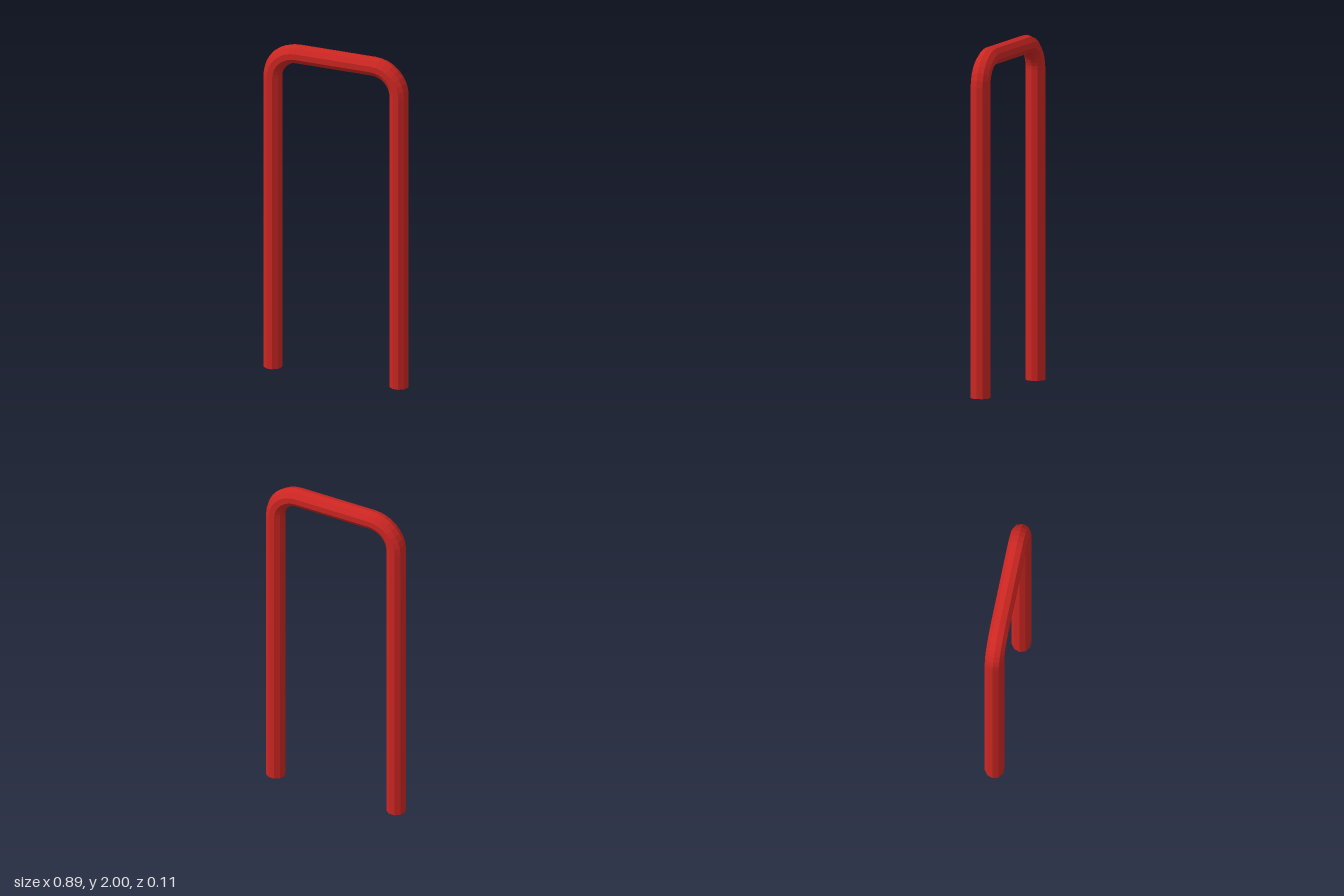
import * as THREE from 'three';

const SIDES = 10;          // sides of the tube
const R = 0.056;           // tube radius
const BEND = 0.156;        // centreline radius of the corners
const BEND_STEPS = 8;
const HALF = 0.389;        // centreline half width
const TOP = 1.944;         // centreline height

// Stations along the hoop: position plus the angle of the outward direction
function hoopStations() {
  const list = [{ x: -HALF, y: 0, a: Math.PI }];
  for (const side of [-1, 1]) {
    for (let i = 0; i <= BEND_STEPS; i++) {
      const start = side < 0 ? Math.PI : Math.PI / 2;
      const a = start - (i / BEND_STEPS) * Math.PI / 2;
      list.push({
        x: side * (HALF - BEND) + BEND * Math.cos(a),
        y: TOP - BEND + BEND * Math.sin(a),
        a,
      });
    }
  }
  list.push({ x: HALF, y: 0, a: 0 });
  return list;
}

// Sweep a regular polygon along the stations and close both ends
function sweep(stations) {
  const pos = [];
  const rings = stations.map(({ x, y, a }) => {
    const ring = [];
    for (let j = 0; j < SIDES; j++) {
      const t = (j / SIDES) * Math.PI * 2;
      const out = R * Math.cos(t);
      ring.push([x + Math.cos(a) * out, y + Math.sin(a) * out, R * Math.sin(t)]);
    }
    return ring;
  });
  const tri = (...corners) => corners.forEach((c) => pos.push(...c));
  const first = stations[0];
  const last = stations[stations.length - 1];
  for (let j = 0; j < SIDES; j++) {
    const k = (j + 1) % SIDES;
    for (let i = 0; i < rings.length - 1; i++) {
      tri(rings[i][j], rings[i][k], rings[i + 1][j]);
      tri(rings[i][k], rings[i + 1][k], rings[i + 1][j]);
    }
    // End caps
    tri([first.x, first.y, 0], rings[0][k], rings[0][j]);
    const end = rings[rings.length - 1];
    tri([last.x, last.y, 0], end[j], end[k]);
  }
  const geometry = new THREE.BufferGeometry();
  geometry.setAttribute('position', new THREE.Float32BufferAttribute(pos, 3));
  geometry.computeVertexNormals();
  return geometry;
}

export function createModel() {
  const group = new THREE.Group();
  group.name = 'hoopBarrier';

  // One bent tube: two legs, two rounded corners and the top bar
  const material = new THREE.MeshStandardMaterial({ color: 0xcc2622, flatShading: true });
  const hoop = new THREE.Mesh(sweep(hoopStations()), material);
  hoop.name = 'bentTube';
  group.add(hoop);

  return group;
}
